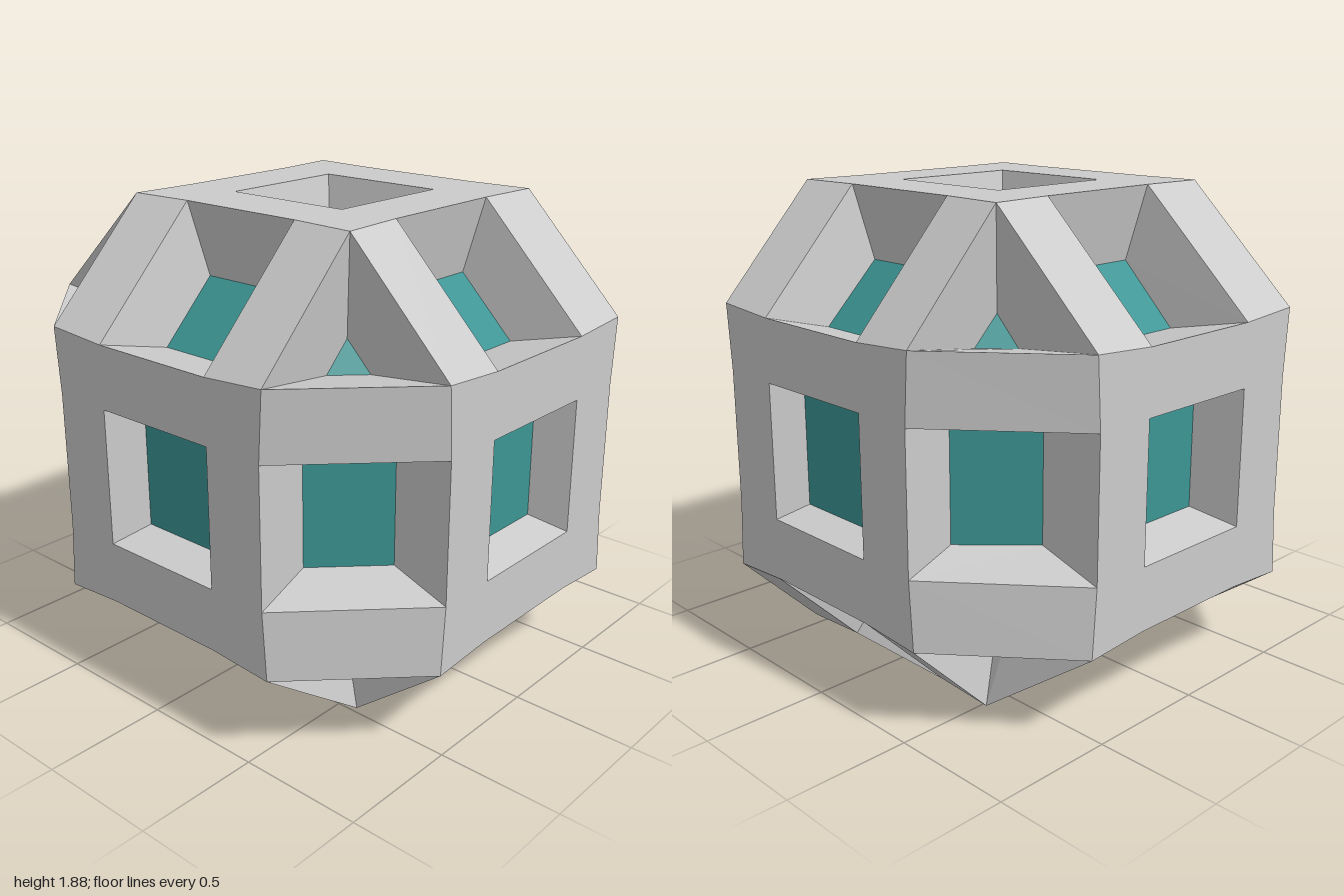
import * as THREE from 'three';

const CENTER = new THREE.Vector3(0.015, 0.895, 0.0225);
// Distance of each main face from the centre, [positive, negative] per axis
const FACE = [[0.95, 0.98], [0.99, 0.895], [0.98, 1.02]];
const HALF = 0.545, PINCH = 0.527, HOLE = 0.275, FLOOR = 0.235;
const FLOOR_D = 0.82;               // depth of main hole floors
const EDGE_A = 0.695, EDGE_B = 0.46; // edge hole floors
const SIGNS = [1, -1];

// Point from three axis/value pairs, relative to the centre
function pt(k, a, m, b, n, c) {
  const p = [0, 0, 0];
  p[k] = a; p[m] = b; p[n] = c;
  return new THREE.Vector3(...p);
}

// Point on the main face of axis k and sign s; the bottom face is slightly shifted
function onFace(k, s, m, b, n, c) {
  const p = pt(k, s * FACE[k][s > 0 ? 0 : 1], m, b, n, c);
  if (k === 1 && s < 0) p.add(new THREE.Vector3(0.053, 0, 0.005));
  return p;
}

const middle = (pts) => pts.reduce((sum, p) => sum.add(p), new THREE.Vector3()).divideScalar(pts.length);

// Collects flat polygons, each wound so that it faces a given point
class Faces {
  constructor() { this.data = []; }
  add(pts, toward) {
    const normal = pts[1].clone().sub(pts[0]).cross(pts[2].clone().sub(pts[0]));
    const list = normal.dot(toward.clone().sub(middle(pts))) < 0 ? [...pts].reverse() : pts;
    for (let i = 1; i < list.length - 1; i++) {
      for (const p of [list[0], list[i], list[i + 1]]) this.data.push(p.x, p.y, p.z);
    }
  }
  // Sloping walls between an outer and an inner loop, facing into the hole
  walls(outer, inner) {
    const inside = middle([...outer, ...inner]);
    outer.forEach((p, i) => {
      const j = (i + 1) % outer.length;
      this.add([p, outer[j], inner[j], inner[i]], inside);
    });
  }
  mesh(name, color) {
    const geo = new THREE.BufferGeometry();
    geo.setAttribute('position', new THREE.Float32BufferAttribute(this.data, 3));
    geo.computeVertexNormals();
    const mesh = new THREE.Mesh(geo, new THREE.MeshStandardMaterial({ color, flatShading: true, side: THREE.DoubleSide }));
    mesh.name = name;
    mesh.position.copy(CENTER);
    return mesh;
  }
}

export function createModel() {
  const frames = new Faces(), bars = new Faces(), walls = new Faces();
  const pits = new Faces(), floors = new Faces();

  // Six square frames with a tapered square hole
  for (let k = 0; k < 3; k++) {
    const m = (k + 1) % 3, n = (k + 2) % 3;
    for (const s of SIGNS) {
      const far = pt(k, s * 5, m, 0, n, 0);
      const corners = [[1, 1], [-1, 1], [-1, -1], [1, -1]];
      const outer = corners.map(([u, v]) => onFace(k, s, m, u * HOLE, n, v * HOLE));
      const inner = corners.map(([u, v]) => pt(k, s * FLOOR_D, m, u * FLOOR, n, v * FLOOR));
      walls.walls(outer, inner);
      floors.add(inner, far);
      for (const [a, b] of [[m, n], [n, m]]) {
        for (const t of SIGNS) {
          const f = (x, y) => onFace(k, s, a, t * x, b, y);
          frames.add([f(PINCH, -HOLE), f(PINCH, HOLE), f(HOLE, HOLE), f(HOLE, -HOLE)], far);
          for (const w of SIGNS) {
            frames.add([f(HALF, w * HALF), f(PINCH, w * HOLE), f(HOLE, w * HOLE)], far);
          }
        }
      }
    }
  }

  // Twelve edges: two bars and a tapered hole between neighbouring frames
  for (let n = 0; n < 3; n++) {
    const k = (n + 1) % 3, m = (n + 2) % 3;
    for (const s of SIGNS) for (const t of SIGNS) {
      const far = pt(k, s * 5, m, t * 5, n, 0);
      const a = (x, z) => onFace(k, s, m, t * x, n, z);
      const b = (x, z) => onFace(m, t, k, s * x, n, z);
      for (const w of SIGNS) {
        bars.add([a(HALF, w * HALF), a(PINCH, w * HOLE), b(PINCH, w * HOLE), b(HALF, w * HALF)], far);
      }
      const outer = [a(PINCH, HOLE), a(PINCH, -HOLE), b(PINCH, -HOLE), b(PINCH, HOLE)];
      const inner = [[EDGE_A, EDGE_B, 1], [EDGE_A, EDGE_B, -1], [EDGE_B, EDGE_A, -1], [EDGE_B, EDGE_A, 1]]
        .map(([x, y, w]) => pt(k, s * x, m, t * y, n, w * FLOOR));
      walls.walls(outer, inner);
      floors.add(inner, far);
    }
  }

  // Eight triangular corner pits
  for (const x of SIGNS) for (const y of SIGNS) for (const z of SIGNS) {
    const outer = [
      onFace(0, x, 1, y * HALF, 2, z * HALF),
      onFace(1, y, 2, z * HALF, 0, x * HALF),
      onFace(2, z, 0, x * HALF, 1, y * HALF),
    ];
    const inner = [0, 1, 2].map((i) => {
      const c = [0.48, 0.48, 0.48];
      c[i] = 0.59;
      return new THREE.Vector3(c[0] * x, c[1] * y, c[2] * z);
    });
    pits.walls(outer, inner);
    floors.add(inner, new THREE.Vector3(x, y, z).multiplyScalar(5));
  }

  const group = new THREE.Group();
  group.name = 'latticeBall';
  group.add(
    frames.mesh('squareFrames', 0xcccccc),
    bars.mesh('edgeBars', 0xcccccc),
    walls.mesh('holeWalls', 0xcccccc),
    pits.mesh('cornerPits', 0xcccccc),
    floors.mesh('holeFloors', 0x3b9594),
  );
  return group;
}
